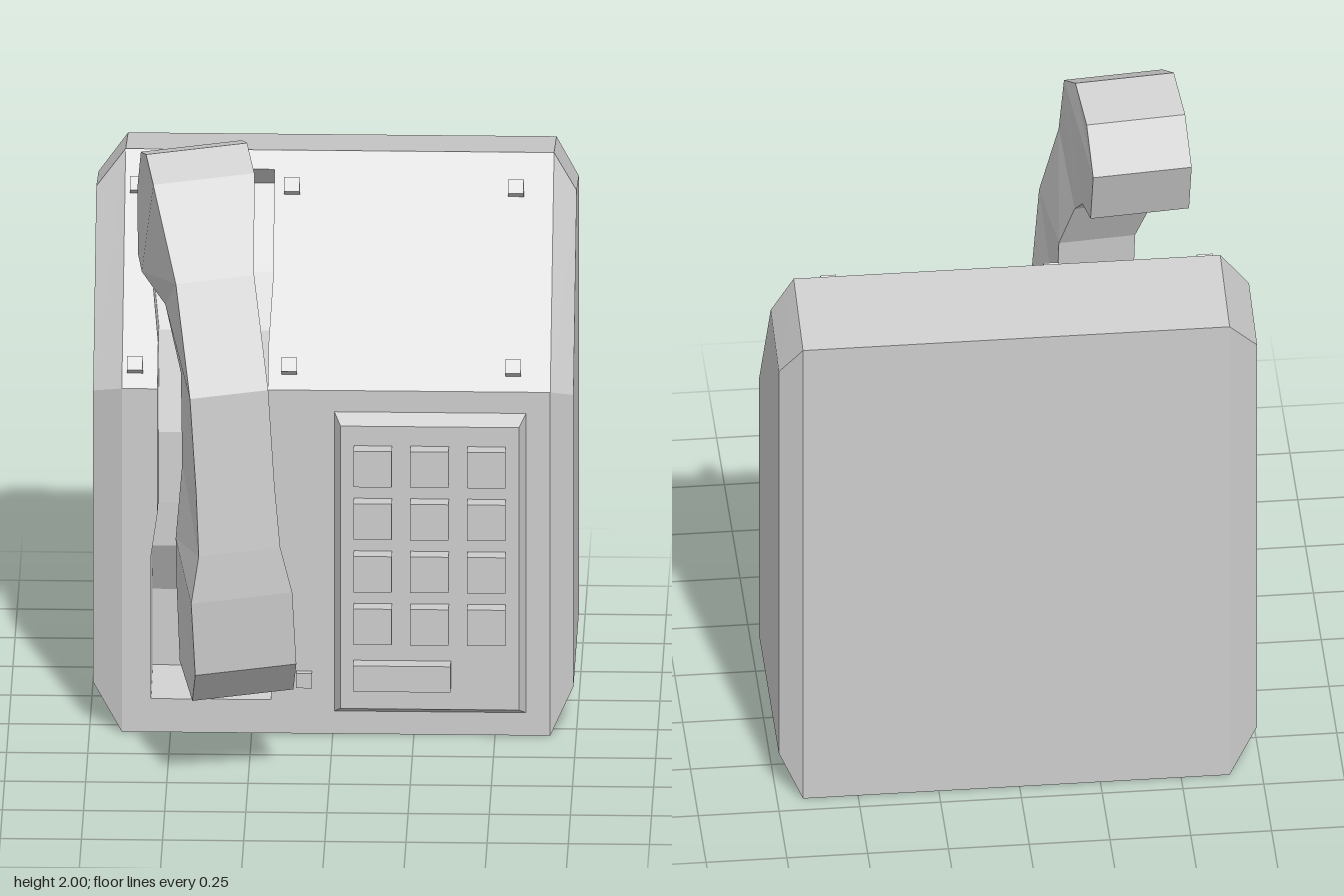
import * as THREE from 'three';

const material = new THREE.MeshStandardMaterial({ color: 0xcccccc, flatShading: true });

function add(parent, name, geometry) {
  const mesh = new THREE.Mesh(geometry, material);
  mesh.name = name;
  parent.add(mesh);
  return mesh;
}

// Geometry from polygons, each a convex counter-clockwise list of corners
function fromPolygons(polygons) {
  const pos = [];
  for (const p of polygons)
    for (let i = 1; i < p.length - 1; i++) pos.push(...p[0], ...p[i], ...p[i + 1]);
  const g = new THREE.BufferGeometry();
  g.setAttribute('position', new THREE.Float32BufferAttribute(pos, 3));
  g.computeVertexNormals();
  return g;
}

// Polygons joining rings; the first ring is counter-clockwise seen from outside
function loft(rings, capEnd = true) {
  const polygons = [rings[0]];
  for (let i = 0; i < rings.length - 1; i++) {
    const a = rings[i], b = rings[i + 1];
    a.forEach((_, k) => {
      const n = (k + 1) % a.length;
      polygons.push([a[k], b[k], b[n], a[n]]);
    });
  }
  if (capEnd) polygons.push([...rings[rings.length - 1]].reverse());
  return polygons;
}

// Housing dimensions
const X0 = -0.65, X1 = 0.67, SIDE = 0.74, FRONT = 0.06, BEND = 1.13, TOP = 1.75;
const SLOPE = 0.45 / 0.62;
const frontZ = (y) => FRONT - Math.max(0, y - BEND) * SLOPE;

// Profiles as [z, y]: full outline and the smaller chamfered side outline
const outline = [[FRONT, 0], [FRONT, BEND], [-0.39, TOP], [-0.69, 1.69], [-0.69, 0]];
const sideOutline = [[0, 0.14], [0, 1.10], [-0.38, 1.63], [-0.64, 1.58], [-0.64, 0.14]];

// Cradle recess rows from top to bottom: y, floor z, left x, right x
const recess = [
  [1.70, frontZ(1.70), -0.56, -0.19],
  [1.63, -0.42, -0.56, -0.19],
  [1.41, -0.23, -0.56, -0.19],
  [1.25, -0.14, -0.54, -0.20],
  [BEND, -0.10, -0.54, -0.20],
  [0.95, -0.04, -0.54, -0.20],
  [0.72, -0.03, -0.54, -0.20],
  [0.58, -0.03, -0.56, -0.19],
  [0.40, -0.13, -0.56, -0.19],
  [0.15, -0.13, -0.56, -0.19],
  [0.11, FRONT, -0.56, -0.19],
];

// Front panel from yFar to the bend, with the recess cut out of it
function frontPanel(yFar, rows) {
  const points = [
    [X0, BEND], ...rows.map((r) => [r[2], r[0]]),
    ...[...rows].reverse().map((r) => [r[3], r[0]]),
    [X1, BEND], [X1, yFar], [X0, yFar],
  ].map(([x, y]) => new THREE.Vector2(x, y));
  const g = new THREE.ShapeGeometry(new THREE.Shape(points));
  const p = g.attributes.position;
  for (let i = 0; i < p.count; i++) p.setZ(i, frontZ(p.getY(i)));
  g.computeVertexNormals();
  return g;
}

function buildHousing(parent) {
  const housing = new THREE.Group();
  housing.name = 'housing';
  parent.add(housing);

  // Top, back and bottom
  const shell = [];
  for (let i = 2; i < 5; i++) {
    const [az, ay] = outline[i], [bz, by] = outline[(i + 1) % 5];
    shell.push([[X0, ay, az], [X1, ay, az], [X1, by, bz], [X0, by, bz]]);
  }
  add(housing, 'backShell', fromPolygons(shell));

  // Chamfered sides
  const ring = (profile, x) => profile.map(([z, y]) => [x, y, z]);
  add(housing, 'rightSide', fromPolygons(loft([ring(sideOutline, -SIDE), ring(outline, X0)], false)));
  add(housing, 'leftSide', fromPolygons(loft(
    [ring(sideOutline, SIDE).reverse(), ring(outline, X1).reverse()], false)));

  // Front panels
  add(housing, 'slopedPanel', frontPanel(TOP, recess.filter((r) => r[0] >= BEND).reverse()));
  add(housing, 'lowerPanel', frontPanel(0, recess.filter((r) => r[0] <= BEND)));

  // Recess floor and walls
  const cradle = [];
  for (let i = 0; i < recess.length - 1; i++) {
    const [ay, az, al, ar] = recess[i], [by, bz, bl, br] = recess[i + 1];
    const af = frontZ(ay), bf = frontZ(by);
    cradle.push(
      [[al, ay, az], [bl, by, bz], [br, by, bz], [ar, ay, az]],
      [[al, ay, af], [bl, by, bf], [bl, by, bz], [al, ay, az]],
      [[ar, ay, az], [br, by, bz], [br, by, bf], [ar, ay, af]]);
  }
  add(housing, 'cradle', fromPolygons(cradle));

  // Studs on the sloped panel
  for (const x of [-0.61, -0.135, 0.555])
    for (const y of [1.655, 1.19]) {
      const stud = add(housing, 'stud', new THREE.BoxGeometry(0.048, 0.045, 0.07));
      stud.position.set(x, y, frontZ(y) + 0.004);
      stud.rotation.x = -Math.atan(SLOPE);
    }

  const button = add(housing, 'smallButton', new THREE.BoxGeometry(0.048, 0.048, 0.025));
  button.position.set(-0.088, 0.182, FRONT + 0.0125);
}

function buildKeypad(parent) {
  const keypad = new THREE.Group();
  keypad.name = 'keypad';
  parent.add(keypad);

  // Bevelled base
  const rect = (x0, x1, y0, y1, z) => [[x0, y0, z], [x1, y0, z], [x1, y1, z], [x0, y1, z]];
  add(keypad, 'keypadBase', fromPolygons(loft([
    rect(0.025, 0.575, 0.10, 1.03, 0.105), rect(0.005, 0.595, 0.075, 1.06, FRONT)])));

  // Keys in a grid, and the wide bar below
  const key = (name, x, y, w, h) =>
    add(keypad, name, new THREE.BoxGeometry(w, h, 0.05)).position.set(x, y, 0.13);
  for (let row = 0; row < 4; row++)
    for (let col = 0; col < 3; col++)
      key('key', 0.125 + col * 0.175, 0.907 - row * 0.173, 0.118, 0.118);
  key('barKey', 0.215, 0.217, 0.3, 0.085);
}

function buildHandset(parent) {
  // Outer and inner centre points [x, y, z, half width] from earpiece to mouthpiece
  const brow = [-0.39, 1.93, 0.345, 0.155];
  const chin = [-0.31, 0.34, 0.285, 0.155];
  const sections = [
    [[-0.415, 1.99, 0.24, 0.155], [-0.435, 1.94, 0.085, 0.155]],
    [brow, [-0.447, 1.80, 0, 0.155]],
    [brow, [-0.445, 1.60, 0.065, 0.155]],
    [brow, [-0.43, 1.58, 0.175, 0.155]],
    [[-0.352, 1.65, 0.48, 0.12], [-0.385, 1.50, 0.26, 0.125]],
    [[-0.305, 1.325, 0.62, 0.12], [-0.34, 1.31, 0.35, 0.12]],
    [[-0.285, 1.02, 0.642, 0.12], [-0.335, 1.02, 0.38, 0.12]],
    [[-0.272, 0.82, 0.655, 0.125], [-0.325, 0.78, 0.38, 0.15]],
    [[-0.265, 0.67, 0.66, 0.155], [-0.32, 0.59, 0.275, 0.155]],
    [[-0.253, 0.427, 0.64, 0.155], chin],
    [[-0.265, 0.30, 0.525, 0.155], chin],
  ];
  // Step sideways along the tilted width direction
  const side = ([x, y, z, w], s) => [x + s * w, y + s * w * 0.065, z - s * w * 0.178];
  add(parent, 'handset', fromPolygons(loft(sections.map(([a, b]) =>
    [side(a, -1), side(a, 1), side(b, 1), side(b, -1)]))));
}

export function createModel() {
  const model = new THREE.Group();
  model.name = 'wallTelephone';
  buildHousing(model);
  buildKeypad(model);
  buildHandset(model);
  return model;
}
